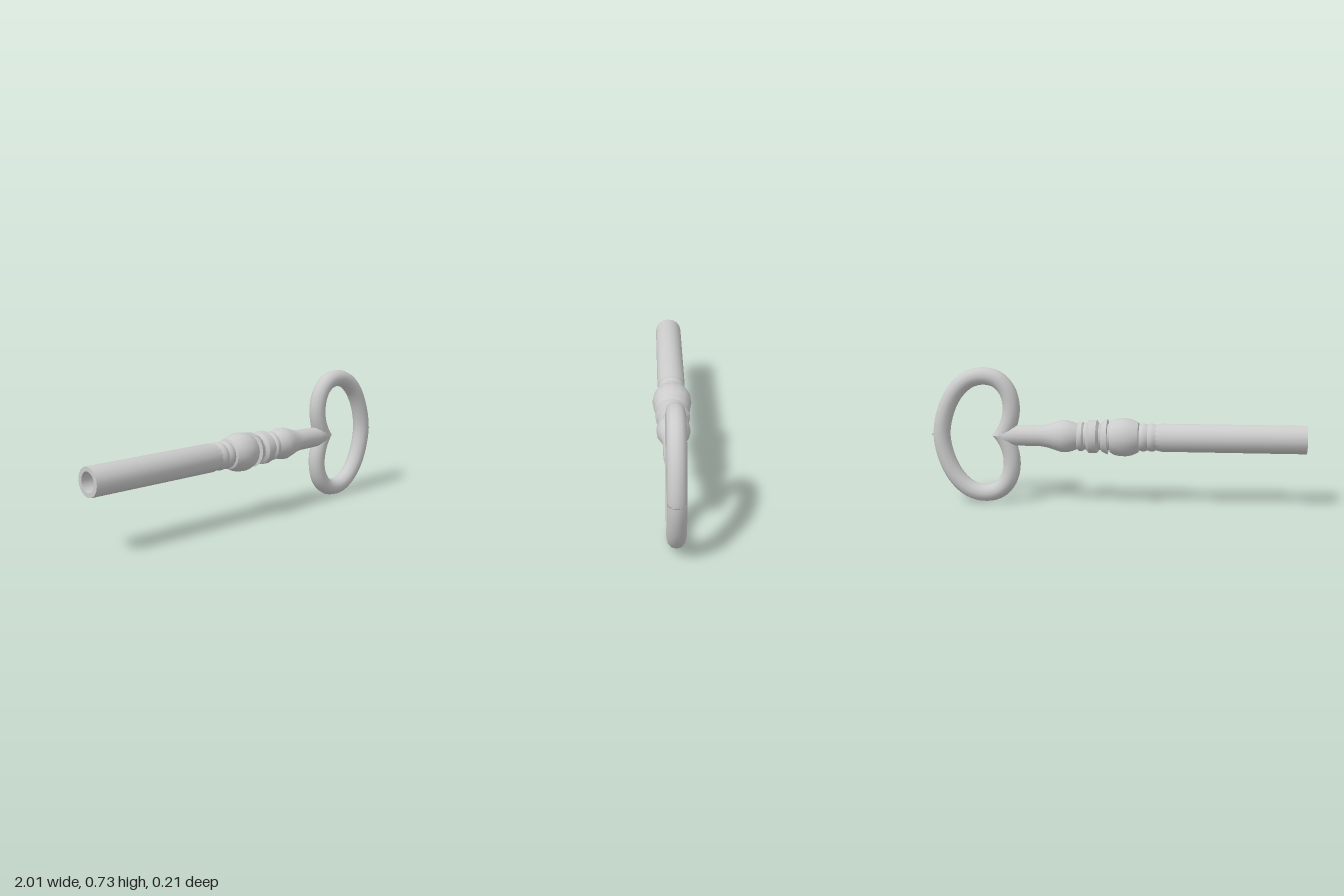
import * as THREE from 'three';
import { toCreasedNormals } from 'three/addons/utils/BufferGeometryUtils.js';

const AXIS_Y = 0.367;   // height of the shaft's axis
const BOW_R = 0.047;    // thickness radius of the bow

// Hollow turned shaft: [x along the key, radius], from the bore's bottom to the tip
function makeShaft(material) {
  const profile = [
    [-0.4, 0], [-0.4, 0.052], [-1, 0.052], [-1, 0.076], [-0.24, 0.076],
    [-0.21, 0.069], [-0.195, 0.075], [-0.18, 0.076], [-0.165, 0.069],
    [-0.15, 0.075], [-0.135, 0.076], [-0.12, 0.07],
    // large bead
    [-0.115, 0.082], [-0.08, 0.098], [-0.05, 0.104], [-0.02, 0.104], [0.01, 0.098], [0.035, 0.085],
    // collars
    [0.037, 0.072], [0.048, 0.072], [0.05, 0.095], [0.08, 0.08], [0.085, 0.07],
    [0.095, 0.072], [0.108, 0.09], [0.148, 0.09], [0.163, 0.072],
    [0.175, 0.07], [0.185, 0.08], [0.205, 0.078], [0.212, 0.068],
    // neck running into the bow
    [0.235, 0.078], [0.265, 0.087], [0.295, 0.087], [0.33, 0.077], [0.37, 0.064], [0.41, 0.057],
    [0.55, 0.056], [0.62, 0.048], [0.64, 0.03], [0.66, 0],
  ];
  const lathe = new THREE.LatheGeometry(profile.map(([x, r]) => new THREE.Vector2(r, x)), 16);
  lathe.rotateZ(-Math.PI / 2);
  const shaft = new THREE.Mesh(toCreasedNormals(lathe, 0.65), material);
  shaft.name = 'shaft';
  return shaft;
}

// One lobe of the heart-shaped bow, trimmed flat where it meets its mirror image
function makeBowHalf(side, material) {
  const path = [
    [0.67, -0.06], [0.617, 0], [0.581, 0.075], [0.57, 0.16], [0.592, 0.245], [0.645, 0.302],
    [0.72, 0.32], [0.8, 0.3], [0.87, 0.24], [0.925, 0.14], [0.953, 0], [0.925, -0.14],
  ];
  const curve = new THREE.CatmullRomCurve3(path.map(([x, y]) => new THREE.Vector3(x, y * side, 0)));
  const segments = 48, sides = 12;
  const tube = new THREE.TubeGeometry(curve, segments, BOW_R, sides, false);
  const pos = tube.attributes.position;
  for (let i = 0; i <= segments; i++) {
    const t = curve.getTangentAt(i / segments);
    for (let j = 0; j <= sides; j++) {
      const k = i * (sides + 1) + j;
      const y = pos.getY(k);
      // slide anything past the mirror plane back along the tube
      if (y * side < 0) pos.setXY(k, pos.getX(k) - (y * t.x) / t.y, 0);
    }
  }
  const half = new THREE.Mesh(tube, material);
  half.name = side > 0 ? 'upperBow' : 'lowerBow';
  return half;
}

export function createModel() {
  const material = new THREE.MeshStandardMaterial({ color: 0xcccccc });
  const key = new THREE.Group();
  key.name = 'key';

  const body = new THREE.Group();
  body.name = 'keyBody';
  body.position.y = AXIS_Y;
  body.add(makeShaft(material));

  const bow = new THREE.Group();
  bow.name = 'bow';
  for (const side of [1, -1]) bow.add(makeBowHalf(side, material));
  body.add(bow);

  key.add(body);
  return key;
}
